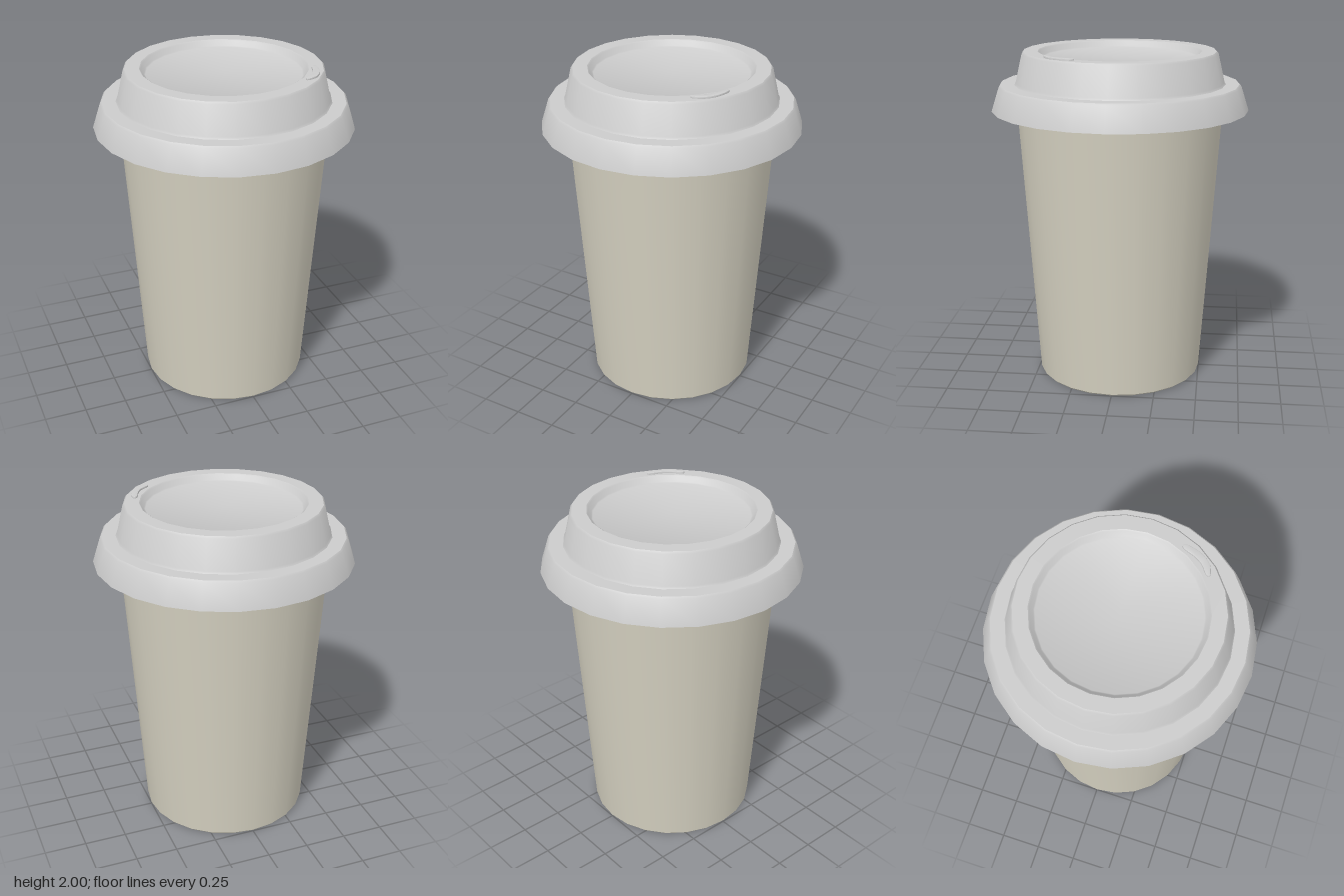
import * as THREE from 'three';
import { toCreasedNormals } from 'three/addons/utils/BufferGeometryUtils.js';

const SIDES = 24;

// Revolve a [radius, height] profile, keeping its corners crisp.
function revolve(name, profile, material) {
  const points = profile.map(([r, y]) => new THREE.Vector2(r, y));
  const geometry = toCreasedNormals(new THREE.LatheGeometry(points, SIDES), 0.6);
  const mesh = new THREE.Mesh(geometry, material);
  mesh.name = name;
  return mesh;
}

export function createModel() {
  const model = new THREE.Group();
  model.name = 'takeawayCup';
  const paper = new THREE.MeshStandardMaterial({ color: 0xd4d0c0, side: THREE.DoubleSide });
  const plastic = new THREE.MeshStandardMaterial({ color: 0xcccccc, side: THREE.DoubleSide });

  // Tapered wall with a rolled foot around a recessed base
  model.add(revolve('cupBody', [
    [0, 0.03], [0.46, 0.03], [0.47, 0.005], [0.475, 0], [0.493, 0], [0.5, 0.008],
    [0.61, 1.645], [0.62, 1.79],
  ], paper));

  // Flared skirt, shoulder, raised collar and sunken top, open underneath
  model.add(revolve('lid', [
    [0.762, 1.645], [0.716, 1.788], [0.706, 1.798],
    [0.625, 1.798], [0.617, 1.81],
    [0.578, 1.978], [0.568, 1.989],
    [0.484, 1.989], [0.476, 1.983], [0.458, 1.955], [0.45, 1.95], [0, 1.95],
  ], plastic));

  // Thin curved sip tab on the lid's top ring
  const outline = [
    [0.342, 0.388], [0.395, 0.373], [0.438, 0.331], [0.462, 0.28], [0.473, 0.215],
    [0.466, 0.207], [0.455, 0.213], [0.427, 0.282], [0.394, 0.332], [0.341, 0.375],
  ].map(([x, z]) => new THREE.Vector2(x, z));
  const curve = new THREE.CatmullRomCurve3(
    outline.map((p) => new THREE.Vector3(p.x, p.y, 0)), true);
  const shape = new THREE.Shape(curve.getPoints(40).slice(0, -1).map((p) => new THREE.Vector2(p.x, p.y)));
  const tab = new THREE.ExtrudeGeometry(shape, {
    depth: 0.012, bevelEnabled: true, bevelThickness: 0.004, bevelSize: 0.004, bevelSegments: 2,
  });
  tab.rotateX(Math.PI / 2).translate(0, 1.996, 0);
  const sipTab = new THREE.Mesh(toCreasedNormals(tab, 0.6), plastic);
  sipTab.name = 'sipTab';
  model.add(sipTab);

  return model;
}
